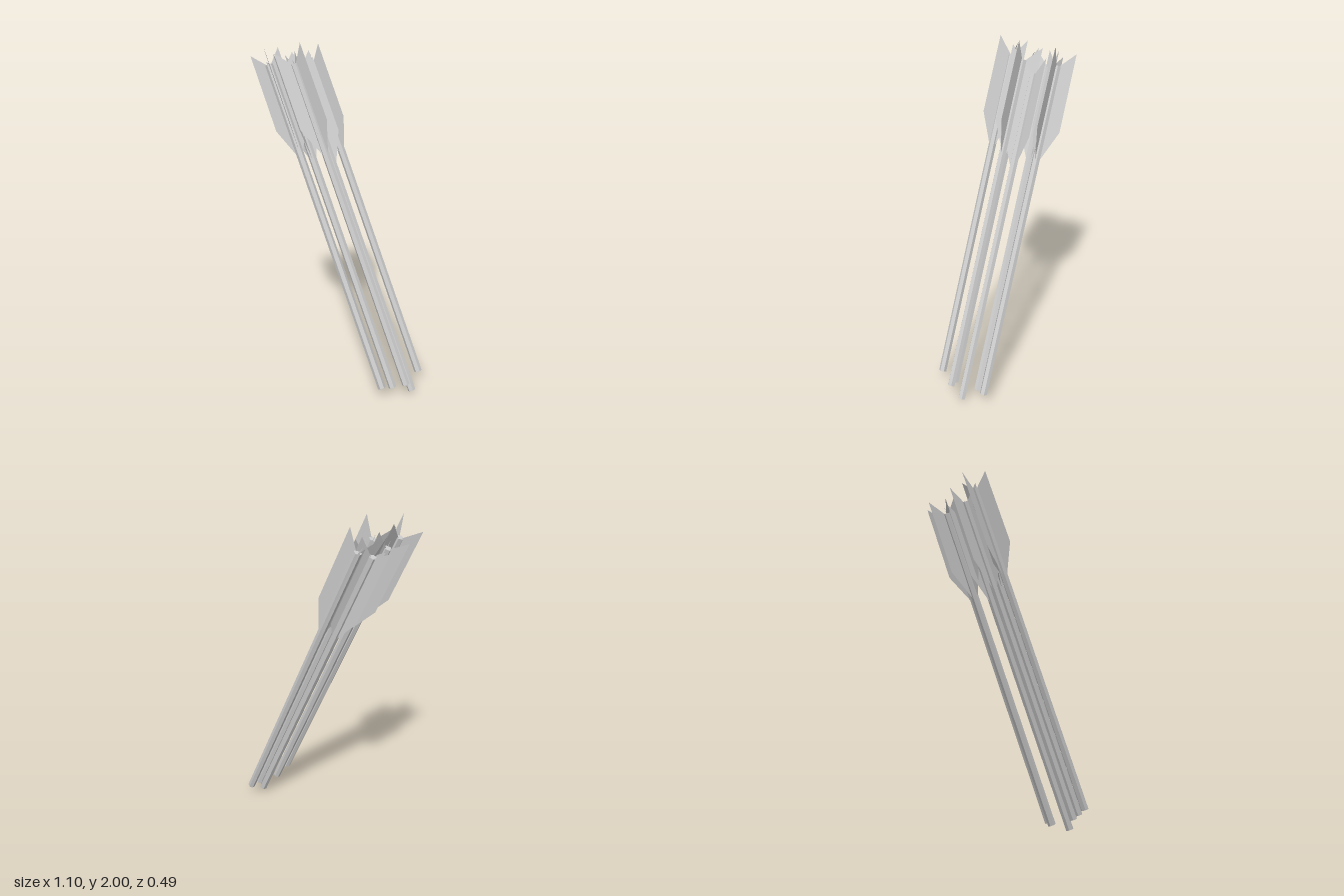
import * as THREE from 'three';

const LENGTH = 1.987;
const RADIUS = 0.023;

export function createModel() {
  const bundle = new THREE.Group();
  bundle.name = 'arrowBundle';

  const shaftMaterial = new THREE.MeshStandardMaterial({ color: 0xcccccc, flatShading: true });
  const vaneMaterial = new THREE.MeshStandardMaterial({ color: 0xcccccc, side: THREE.DoubleSide });

  // Hexagonal shaft, standing on its lower end
  const shaftGeometry = new THREE.CylinderGeometry(RADIUS, RADIUS, LENGTH, 6);
  shaftGeometry.translate(0, LENGTH / 2, 0);

  // Thin swept vane: x is the distance from the shaft axis
  const vaneGeometry = new THREE.ShapeGeometry(new THREE.Shape([
    [0.012, LENGTH - 0.57], [0.1, LENGTH - 0.37], [0.097, LENGTH + 0.092], [0.012, LENGTH],
  ].map(([x, y]) => new THREE.Vector2(x, y))));

  // Common lean of all arrows
  const axis = new THREE.Vector3(-0.86, 1.79, -0.068).normalize();
  const across = new THREE.Vector3(1.79, 0.86, 0).normalize();
  const lean = new THREE.Matrix4().makeBasis(across, axis, across.clone().cross(axis));

  // Lower end of each arrow (x, y, z) and roll of its vanes in degrees
  const arrows = [
    [0.43, 0.09, 0.215, 46],
    [0.525, 0.09, 0.1, 5],
    [0.445, 0.05, 0.12, 60],
    [0.525, 0.015, 0.03, 66],
    [0.44, 0.038, -0.035, 80],
    [0.49, 0.068, -0.1, -1],
  ];

  arrows.forEach(([x, y, z, roll], i) => {
    const arrow = new THREE.Group();
    arrow.name = `arrow${i + 1}`;
    arrow.quaternion.setFromRotationMatrix(lean);
    arrow.position.set(x, y, z);

    const shaft = new THREE.Mesh(shaftGeometry, shaftMaterial);
    shaft.name = 'shaft';
    shaft.rotation.y = -THREE.MathUtils.degToRad(roll);
    arrow.add(shaft);

    // Three vanes evenly around the shaft
    for (let k = 0; k < 3; k++) {
      const vane = new THREE.Mesh(vaneGeometry, vaneMaterial);
      vane.name = 'vane';
      vane.rotation.y = -THREE.MathUtils.degToRad(roll + k * 120);
      arrow.add(vane);
    }
    bundle.add(arrow);
  });
  return bundle;
}
